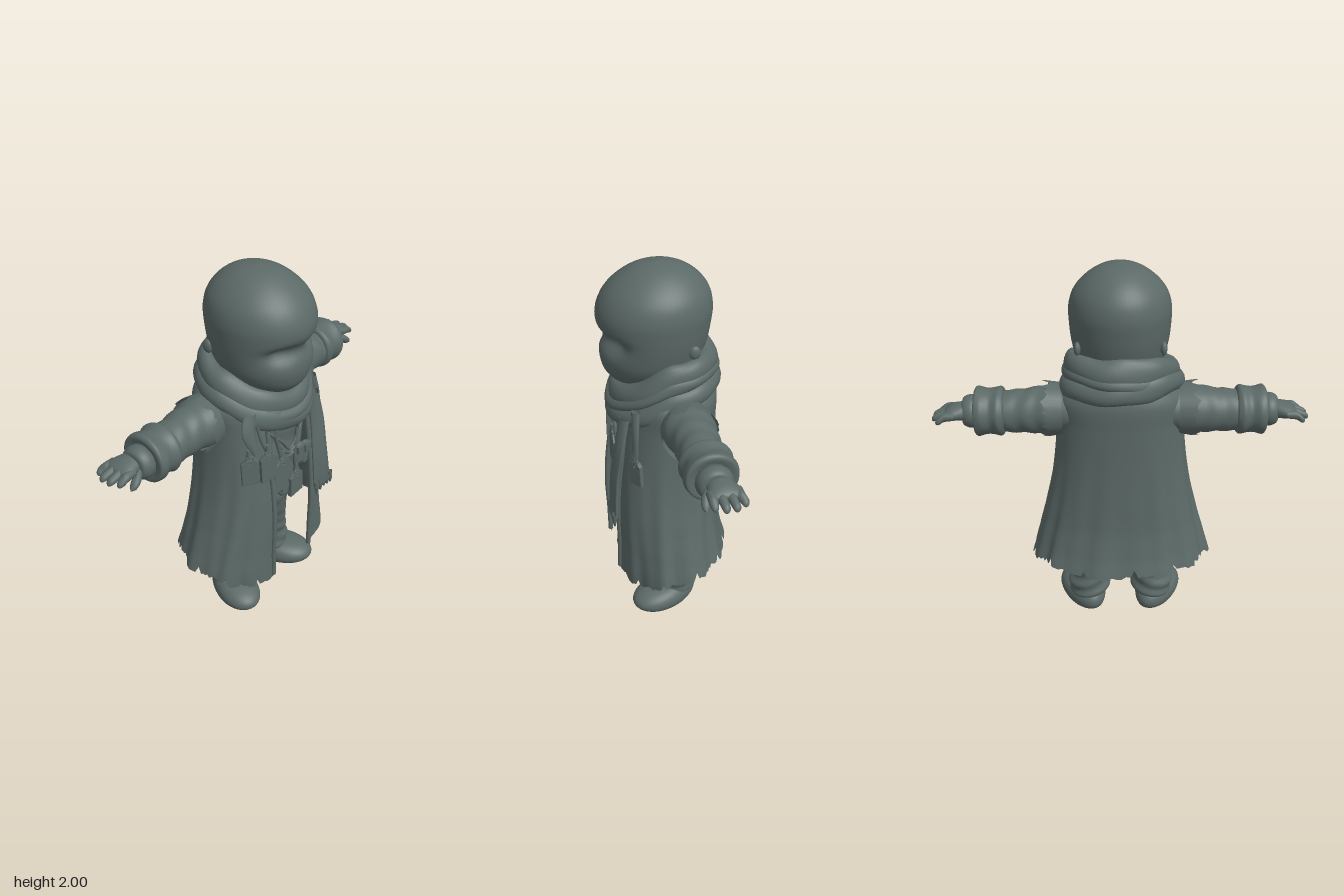
import * as THREE from 'three';
import { mergeVertices } from 'three/addons/utils/BufferGeometryUtils.js';

const TAU = Math.PI * 2;
const cloth = new THREE.MeshStandardMaterial({ color: 0x5b6967, side: THREE.DoubleSide });
cloth.name = 'slate grey';

// Repeatable value between -1 and 1
const jag = (i) => { const s = Math.sin(i * 127.1 + 3.7) * 43758.5453; return 2 * (s - Math.floor(s)) - 1; };
const pw = (v, e) => Math.sign(v) * Math.abs(v) ** e;

// Smooth surface from a rule f(u, v) -> [x, y, z]
function surface(f, nu, nv) {
  const pos = [], idx = [];
  for (let j = 0; j <= nv; j++) for (let i = 0; i <= nu; i++) pos.push(...f(i / nu, j / nv));
  for (let j = 0; j < nv; j++) for (let i = 0; i < nu; i++) {
    const a = j * (nu + 1) + i, b = a + nu + 1;
    idx.push(a, a + 1, b + 1, a, b + 1, b);
  }
  let g = new THREE.BufferGeometry();
  g.setAttribute('position', new THREE.Float32BufferAttribute(pos, 3));
  g.setIndex(idx);
  g = mergeVertices(g, 1e-5);
  g.computeVertexNormals();
  return g;
}

// Smooth interpolation through rows at a fractional row index
function sample(rows, k) {
  const n = rows.length - 1, i = Math.min(n - 1, Math.max(0, Math.floor(k))), t = k - i;
  const a = rows[Math.max(0, i - 1)], b = rows[i], c = rows[i + 1], d = rows[Math.min(n, i + 2)];
  return b.map((_, m) => b[m] + 0.5 * t * (c[m] - a[m]
    + t * (2 * a[m] - 5 * b[m] + 4 * c[m] - d[m] + t * (3 * (b[m] - c[m]) + d[m] - a[m]))));
}

// Upright body from rows [y, halfWidth, zBack, zFront, xCentre]
function upright(rows, nv = 40, tweak = (p) => p) {
  return surface((u, v) => {
    const [y, rx, zb, zf, cx = 0] = sample(rows, v * (rows.length - 1)), a = u * TAU;
    return tweak([cx + Math.max(0, rx) * Math.sin(a), y, (zf + zb) / 2 + (zf - zb) / 2 * Math.cos(a)], a, v);
  }, 48, nv);
}

// Sideways limb from rows [x, y, z, halfHeight, halfDepth]
function limb(rows, nu = 28, nv = 30, wrinkle = 0) {
  return surface((u, v) => {
    const [x, y, z, ry, rz] = sample(rows, v * (rows.length - 1)), a = u * TAU;
    const w = 1 + wrinkle * Math.sin(v * 26 + 1.5 * Math.sin(a * 2 + 1));
    return [x, y + Math.max(0, ry) * w * Math.cos(a), z + Math.max(0, rz) * w * Math.sin(a)];
  }, nu, nv);
}

// Flat hanging band from rows [x, y, z, halfWidth, halfThickness]
const band = (rows) => surface((u, v) => {
  const [x, y, z, w, t] = sample(rows, v * (rows.length - 1)), a = u * TAU;
  return [x + w * Math.cos(a), y, z + t * Math.sin(a) + 0.006 * Math.cos(w * 60 * Math.cos(a))];
}, 24, 24);

// Wrapped roll of cloth around the neck
const roll = (rx, zb, zf, yb, ys, yf, w, h, skew) => surface((u, v) => {
  const a = u * TAU, b = -v * TAU, c = Math.cos(a);
  const y = ys + (c > 0 ? (yf - ys) * c ** 1.4 : (yb - ys) * -c) + skew * Math.sin(a);
  const k = 1 + 0.12 * Math.sin(a * 3 + b * 2) + 0.06 * Math.sin(a * 7 - b);
  const r = w * k * Math.cos(b);
  return [(rx + r) * Math.sin(a), y + h * k * Math.sin(b) - 0.25 * r, (c > 0 ? zf + r : -zb + r) * c];
}, 72, 20);

function mirrored(geo) {
  const g = geo.clone().scale(-1, 1, 1), ix = g.index.array;
  for (let i = 0; i < ix.length; i += 3) [ix[i], ix[i + 1]] = [ix[i + 1], ix[i]];
  g.computeVertexNormals();
  return g;
}

export function createModel() {
  const model = new THREE.Group();
  const add = (name, geo, parent = model) => {
    const m = new THREE.Mesh(geo, cloth);
    m.name = name;
    parent.add(m);
    return m;
  };
  const pair = (name, geo) => { add(name + 'Left', geo); add(name + 'Right', mirrored(geo)); };

  // Head with hollow eye sockets
  add('head', upright([
    [1.36, 0, 0.1, 0.1], [1.385, 0.1, 0, 0.23], [1.44, 0.18, -0.12, 0.295], [1.51, 0.228, -0.19, 0.32],
    [1.6, 0.25, -0.222, 0.325], [1.7, 0.26, -0.24, 0.335], [1.78, 0.26, -0.245, 0.332], [1.86, 0.235, -0.225, 0.295],
    [1.93, 0.175, -0.17, 0.225], [1.98, 0.095, -0.085, 0.135], [2, 0, 0.03, 0.03]], 64, (p) => {
    const [x, y, z] = p;
    if (z < 0) return p;
    const ex = (Math.abs(x) - 0.12) / 0.07, ey = y - 1.645;
    const socket = 0.06 * Math.exp(-ex * ex - (ey / (ey > 0 ? 0.035 : 0.055)) ** 2);
    const bridge = 0.025 * Math.exp(-((x / 0.09) ** 2) - (ey / 0.045) ** 2);
    return [x, y, z - socket - bridge];
  }));
  pair('ear', new THREE.SphereGeometry(0.03, 16, 12).scale(0.6, 1.2, 1).translate(0.215, 1.6, -0.11));

  // Scarf wraps
  add('scarfUpper', roll(0.25, -0.22, 0.235, 1.51, 1.47, 1.32, 0.05, 0.07, 0.012));
  add('scarfLower', roll(0.275, -0.235, 0.255, 1.42, 1.385, 1.235, 0.052, 0.062, -0.02));
  add('scarfFold', roll(0.265, -0.235, 0.262, 1.47, 1.425, 1.27, 0.045, 0.04, 0.03));

  // Long open coat with folds and ragged hem
  const coat = [[1.46, 0.14, -0.16, 0.14], [1.41, 0.26, -0.235, 0.18], [1.33, 0.335, -0.265, 0.21],
    [1.2, 0.335, -0.265, 0.245], [1, 0.35, -0.265, 0.275], [0.8, 0.38, -0.27, 0.295], [0.6, 0.425, -0.28, 0.3],
    [0.45, 0.465, -0.305, 0.295], [0.33, 0.495, -0.335, 0.295], [0.2, 0.5, -0.34, 0.295]];
  const hem = [[0.24], [0.26], [0.33], [0.36], [0.37], [0.365], [0.345]];
  const coatPoint = (a, y) => {
    let i = 0;
    while (i < coat.length - 2 && y < coat[i + 1][0]) i++;
    const [, rx, zb, zf] = sample(coat, i + (y - coat[i][0]) / (coat[i + 1][0] - coat[i][0]));
    const d = Math.max(0, (1.15 - y) / 0.85), c = Math.cos(a);
    const f = 1 + 0.022 * d * Math.sin(a * 11 + 0.8 * Math.sin(y * 5)) + 0.012 * d * Math.sin(a * 19 + 2);
    return [rx * f * pw(Math.sin(a), 0.87), y, (c > 0 ? zf : -zb) * f * pw(c, 0.87)];
  };
  const opening = (y) => 0.27 + 0.16 * Math.min(1, Math.max(0, (y - 0.3) / 0.7));
  const NU = 150;
  add('coat', surface((u, v) => {
    const side = Math.min(u, 1 - u) * 2, i = Math.round(u * NU);
    const tear = 0.014 * jag(Math.floor(i / 4)) + 0.008 * jag(i) + (i % 13 === 0 ? 0.035 : 0);
    const bottom = sample(hem, side * 6)[0] + tear;
    const y = 1.46 + (bottom - 1.46) * (1 - v), o = opening(y);
    return coatPoint(o + u * (TAU - 2 * o), y);
  }, NU, 60));
  // Thick front borders of the coat
  for (const s of [1, -1]) {
    const pts = Array.from({ length: 16 }, (_, i) => {
      const y = 0.25 + i * 0.065;
      return new THREE.Vector3(...coatPoint(s * (opening(y) + 0.015), y));
    });
    add('coatBorder', new THREE.TubeGeometry(new THREE.CatmullRomCurve3(pts), 40, 0.014, 8));
  }

  // Sleeves, torn shoulder seams, cuffs
  pair('sleeve', limb([[0.2, 1.26, -0.03, 0.11, 0.15], [0.34, 1.25, -0.05, 0.128, 0.135],
    [0.45, 1.245, -0.06, 0.12, 0.118], [0.55, 1.24, -0.06, 0.112, 0.11], [0.65, 1.24, -0.06, 0.108, 0.108]], 36, 40, 0.022));
  pair('tornSeam', surface((u, v) => {
    const a = u * TAU, i = Math.round(u * 48) % 48;
    const x = 0.3 + v * (0.09 + 0.025 * jag(i)), r = 0.134 + 0.012 * v;
    return [x, 1.25 + r * Math.cos(a), -0.05 + r * Math.sin(a)];
  }, 48, 6));
  const ring = (x, r) => [x, 1.243, -0.062, r * 0.97, r];
  pair('cuff', limb([ring(0.6, 0.09), ring(0.602, 0.122), ring(0.63, 0.132), ring(0.675, 0.121),
    ring(0.725, 0.134), ring(0.75, 0.12), ring(0.745, 0.085)], 36, 36, 0.015));
  pair('innerCuff', limb([ring(0.73, 0.075), ring(0.765, 0.09), ring(0.8, 0.082), ring(0.815, 0.06), ring(0.81, 0)]));

  // Hands
  pair('palm', limb([[0.77, 1.25, -0.07, 0.05, 0.05], [0.82, 1.252, -0.08, 0.045, 0.068],
    [0.87, 1.25, -0.085, 0.036, 0.08], [0.905, 1.243, -0.085, 0.022, 0.07], [0.91, 1.24, -0.085, 0, 0]]));
  [[-0.15, 0.945], [-0.107, 0.97], [-0.063, 0.97], [-0.02, 0.95]].forEach(([z, tip]) =>
    pair('finger', limb([[0.85, 1.25, z, 0.02, 0.02], [0.9, 1.247, z, 0.023, 0.022], [tip - 0.02, 1.232, z * 1.08, 0.019, 0.019],
      [tip - 0.004, 1.225, z * 1.08, 0.011, 0.011], [tip, 1.224, z * 1.08, 0, 0]], 14, 16)));
  pair('thumb', limb([[0.8, 1.235, -0.03, 0.02, 0.02], [0.84, 1.215, -0.008, 0.027, 0.025],
    [0.88, 1.195, 0.003, 0.02, 0.02], [0.903, 1.183, 0.006, 0, 0]], 14, 16));

  // Shirt with pointed hem, trousers, boots
  add('shirt', upright([[0.6, 0.185, -0.18, 0.185], [0.68, 0.2, -0.195, 0.215], [0.85, 0.205, -0.2, 0.23], [1.05, 0.22, -0.2, 0.23],
    [1.22, 0.25, -0.2, 0.215], [1.38, 0.19, -0.17, 0.17]], 40, ([x, y, z], a, v) =>
    [x, y + 0.025 * (1 - v) ** 6 * Math.sin(a * 9), z + 0.006 * Math.sin(y * 40 + x * 14)]));
  add('hips', upright([[0.46, 0, -0.02, -0.02], [0.475, 0.11, -0.09, 0.08], [0.53, 0.19, -0.155, 0.14],
    [0.62, 0.195, -0.175, 0.165], [0.72, 0.18, -0.17, 0.17]]));
  pair('trouserLeg', upright([[0.07, 0.09, -0.12, 0.06, 0.18], [0.1, 0.112, -0.145, 0.085, 0.18], [0.15, 0.115, -0.152, 0.095, 0.18],
    [0.2, 0.1, -0.145, 0.085, 0.175], [0.27, 0.106, -0.145, 0.095, 0.163], [0.36, 0.104, -0.14, 0.105, 0.145],
    [0.47, 0.103, -0.145, 0.13, 0.12], [0.6, 0.09, -0.15, 0.15, 0.1]], 60, ([x, y, z], a, v) => {
    const w = 0.008 * Math.sin(y * 75 + 2 * Math.sin(a)) * (1 - v);
    return [x + w * Math.sin(a), y, z + w * Math.cos(a)];
  }));
  const foot = surface((u, v) => {
    const a = u * TAU, b = (v - 0.5) * Math.PI, r = pw(Math.cos(b), 0.7), z = r * Math.cos(a);
    const x = 0.118 * r * Math.sin(a) * (1 + 0.1 * z);
    return [x, Math.max(0, 0.045 + (0.078 - 0.012 * z) * Math.sin(b)), 0.2 * z];
  }, 40, 28).rotateY(0.38).translate(0.215, 0, 0.04);
  pair('boot', foot);

  // Hanging scarf end with fringe, and narrower straps
  add('scarfTail', band([[0.2, 1.27, 0.24, 0.04, 0.025], [0.21, 1.1, 0.275, 0.055, 0.02], [0.205, 0.95, 0.3, 0.062, 0.018],
    [0.21, 0.82, 0.312, 0.068, 0.018], [0.22, 0.7, 0.318, 0.074, 0.014]]));
  for (let i = 0; i < 5; i++) {
    const x = 0.158 + i * 0.032, low = 0.655 + 0.018 * jag(i);
    add('fringe', band([[x, 0.73, 0.318, 0.017, 0.012], [x + 0.003, 0.69, 0.32, 0.014, 0.011], [x + 0.005, low, 0.32, 0.005, 0.005]]));
  }
  add('shoulderStrap', band([[0.25, 1.33, 0.19, 0.03, 0.02], [0.285, 1.2, 0.2, 0.028, 0.016], [0.3, 1.05, 0.205, 0.022, 0.012]]));
  add('tornLapel', band([[-0.24, 1.34, 0.18, 0.05, 0.02], [-0.27, 1.24, 0.2, 0.05, 0.016], [-0.26, 1.12, 0.225, 0.015, 0.01]]));

  // Cords across the chest
  const cord = (pts, r = 0.009) => add('cord', new THREE.TubeGeometry(
    new THREE.CatmullRomCurve3(pts.map((p) => new THREE.Vector3(...p))), 20, r, 6));
  for (let i = 0; i < 3; i++) {
    const d = 0.045 * i;
    cord([[-0.17 + d * 0.6, 1.21, 0.225], [-0.07, 1.1 - d, 0.25], [0, 1.02 - d * 0.5, 0.25], [0.07, 1.1 - d, 0.25], [0.15 - d * 0.5, 1.21, 0.235]]);
  }
  cord([[-0.24, 1.28, 0.22], [-0.22, 1.18, 0.235], [-0.19, 1.1, 0.25]]);
  cord([[-0.12, 1.18, 0.24], [-0.1, 1.08, 0.252], [-0.08, 0.98, 0.26]]);
  cord([[0.06, 1.12, 0.25], [0.035, 0.97, 0.258], [0.05, 0.84, 0.262]]);

  // Hanging tags with clipped corners, eyelet and clasp
  [[-0.28, 1.02, 0.205, 0.085, 0.15, -0.6, 0.05], [-0.19, 1.02, 0.25, 0.09, 0.16, -0.3, 0.06], [-0.085, 0.9, 0.25, 0.115, 0.19, 0, -0.06],
    [0.05, 0.77, 0.25, 0.095, 0.14, 0, 0.03], [0.3, 0.995, 0.2, 0.07, 0.13, 0.6, 0.06]].forEach(([x, y, z, w, h, turn, lean]) => {
    const tag = new THREE.Group();
    tag.name = 'tag';
    const a = w / 2, b = h / 2, c = w * 0.25;
    const shape = new THREE.Shape([[-a, -b], [a, -b], [a, b - c], [a - c, b], [c - a, b], [-a, b - c]].map((p) => new THREE.Vector2(...p)));
    shape.holes.push(new THREE.Path().absarc(0, b - 0.022, 0.008, 0, TAU, true));
    add('tagPlate', new THREE.ExtrudeGeometry(shape, { depth: 0.016, bevelSize: 0.004, bevelThickness: 0.004, bevelSegments: 2 }), tag);
    add('tagLoop', new THREE.TorusGeometry(0.018, 0.007, 8, 16).translate(0, b + 0.005, 0.014), tag);
    add('tagClasp', new THREE.CylinderGeometry(0.011, 0.016, 0.05, 10).translate(0, b + 0.035, 0.01), tag);
    tag.position.set(x, y, z);
    tag.rotation.set(0, turn, lean);
    model.add(tag);
  });

  // Small pouches on the chest
  [[0.085, 0.94, 0.245, 0.07, 0.14], [0.125, 0.93, 0.255, 0.05, 0.15], [-0.02, 0.75, 0.225, 0.07, 0.09]].forEach(([x, y, z, w, h]) => {
    add('pouch', new THREE.CapsuleGeometry(w / 2, h - w, 6, 14).scale(1, 1, 0.7).translate(x, y, z));
    add('pouchFlap', new THREE.BoxGeometry(w * 1.05, h * 0.3, 0.03).translate(x, y + h * 0.28, z + 0.014));
  });
  return model;
}
